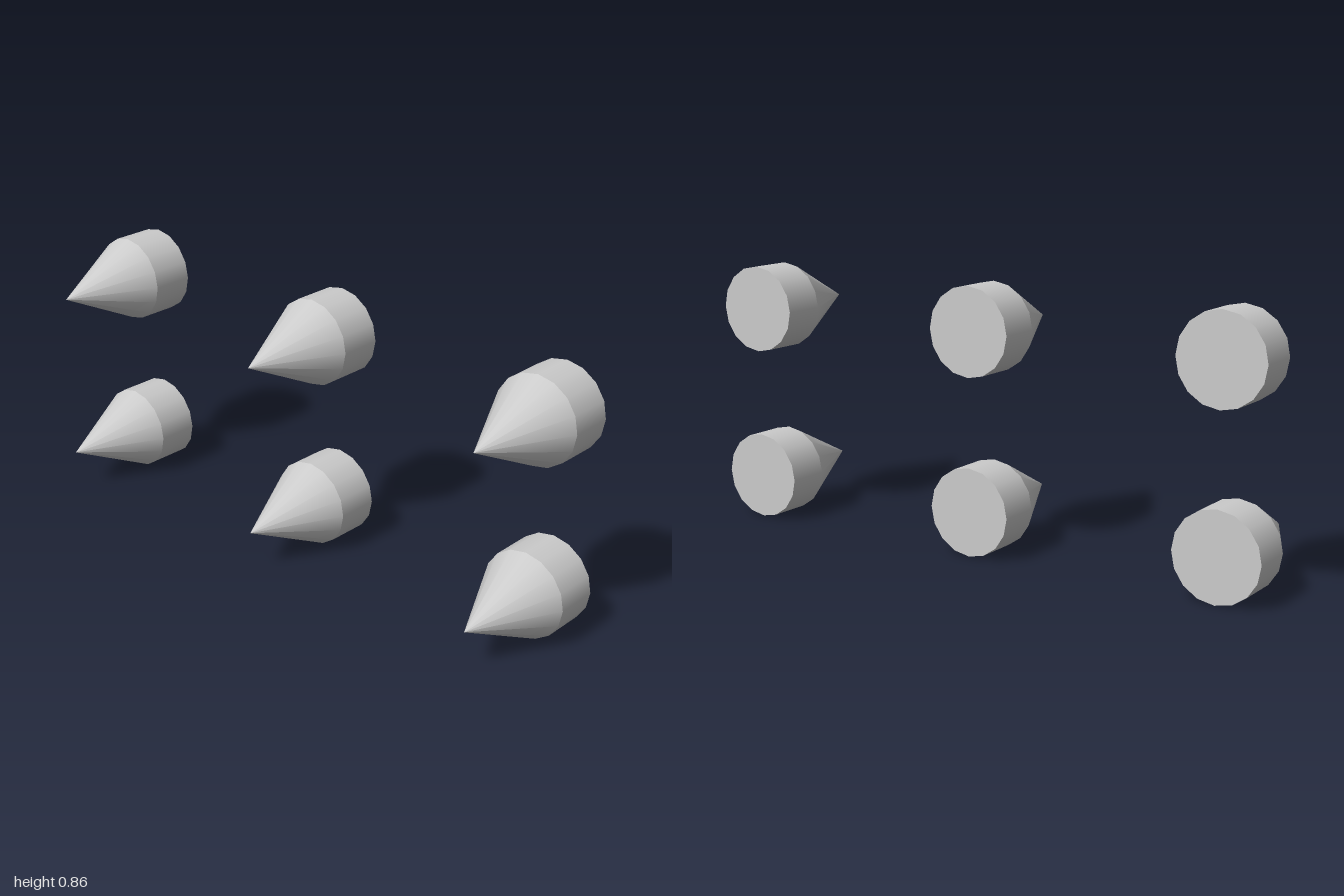
import * as THREE from 'three';

const RADIUS = 1 / 7;
const BASE_LENGTH = 1 / 7;
const TIP_LENGTH = 2 / 7;
const SIDES = 16;

export function createModel() {
  const model = new THREE.Group();
  model.name = 'spikeGrid';
  const material = new THREE.MeshStandardMaterial({ color: 0xcccccc });

  // Both shapes are turned to point along +z
  const baseGeometry = new THREE.CylinderGeometry(RADIUS, RADIUS, BASE_LENGTH, SIDES).rotateX(Math.PI / 2);
  const tipGeometry = new THREE.ConeGeometry(RADIUS, TIP_LENGTH, SIDES).rotateX(Math.PI / 2);

  // One spike: a short cylinder with a cone in front
  function createSpike() {
    const spike = new THREE.Group();
    spike.name = 'spike';
    const base = new THREE.Mesh(baseGeometry, material);
    base.name = 'spikeBase';
    base.position.z = -BASE_LENGTH;
    const tip = new THREE.Mesh(tipGeometry, material);
    tip.name = 'spikeTip';
    tip.position.z = (TIP_LENGTH - BASE_LENGTH) / 2;
    spike.add(base, tip);
    return spike;
  }

  // Two rows of three
  for (const y of [1 / 7, 5 / 7]) {
    for (const x of [-6 / 7, 0, 6 / 7]) {
      const spike = createSpike();
      spike.position.set(x, y, 0);
      model.add(spike);
    }
  }
  return model;
}
